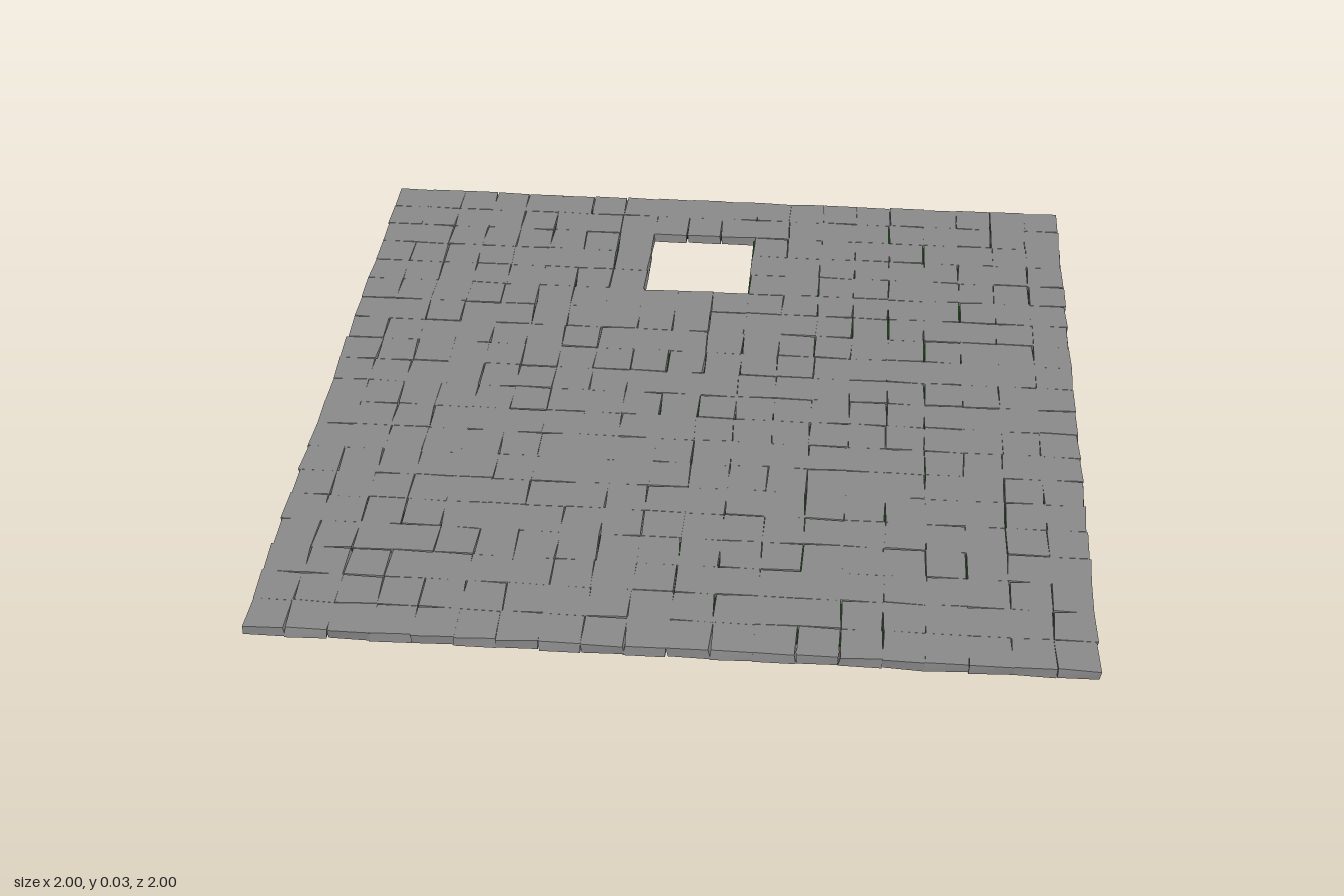
import * as THREE from 'three';
import { mergeGeometries } from 'three/addons/utils/BufferGeometryUtils.js';

const COUNT = 20, PITCH = 0.0997, SIZE = 0.0992, HEIGHT = 0.027;

// Small seeded generator, returns values in -1..1
function makeJitter(seed) {
  let s = seed;
  return (amount) => {
    s = (s * 1664525 + 1013904223) % 4294967296;
    return ((s / 4294967296) * 2 - 1) * amount;
  };
}

// Square opening of 3 x 3 tiles near the back edge
const inOpening = (col, row) => col >= 8 && col <= 10 && row >= 2 && row <= 4;

// One paving block whose eight corners are each moved a little
function roughBlock(jitter) {
  const block = new THREE.BoxGeometry(SIZE, HEIGHT, SIZE);
  const position = block.attributes.position;
  const offsets = Array.from({ length: 8 }, () => [jitter(0.0034), Math.abs(jitter(0.001)), jitter(0.0034)]);
  for (let i = 0; i < position.count; i++) {
    const x = position.getX(i), y = position.getY(i), z = position.getZ(i);
    const [dx, dy, dz] = offsets[(x > 0 ? 1 : 0) + (y > 0 ? 2 : 0) + (z > 0 ? 4 : 0)];
    position.setXYZ(i, x + dx, y - Math.sign(y) * dy, z + dz);
  }
  block.computeVertexNormals();
  return block;
}

// Rows of blocks with uneven, tapering joints
function pavingGeometry() {
  const jitter = makeJitter(7);
  const blocks = [];
  for (let row = 0; row < COUNT; row++) {
    for (let col = 0; col < COUNT; col++) {
      if (inOpening(col, row)) continue;
      blocks.push(roughBlock(jitter).translate((col - 9.5) * PITCH, HEIGHT / 2, (row - 9.5) * PITCH));
    }
  }
  return mergeGeometries(blocks);
}

// Thin bed of moss seen through the joints, with the same opening
function mossGeometry() {
  const e = 0.94;
  const bed = new THREE.Shape([[-e, -e], [e, -e], [e, e], [-e, e]].map(([x, y]) => new THREE.Vector2(x, y)));
  const hole = [[-0.205, 0.495], [-0.205, 0.805], [0.097, 0.805], [0.097, 0.495]];
  bed.holes.push(new THREE.Path(hole.map(([x, y]) => new THREE.Vector2(x, y))));
  const geometry = new THREE.ExtrudeGeometry(bed, { depth: 0.006, bevelEnabled: false });
  geometry.rotateX(-Math.PI / 2);
  geometry.translate(0, 0.008, 0);
  return geometry;
}

export function createModel() {
  const group = new THREE.Group();
  group.name = 'pavedFloor';

  const paving = new THREE.Mesh(pavingGeometry(), new THREE.MeshStandardMaterial({ color: 0x8b8b8b }));
  paving.name = 'pavingBlocks';

  const moss = new THREE.Mesh(mossGeometry(), new THREE.MeshStandardMaterial({ color: 0x123d0e }));
  moss.name = 'mossBed';

  group.add(paving, moss);
  return group;
}
